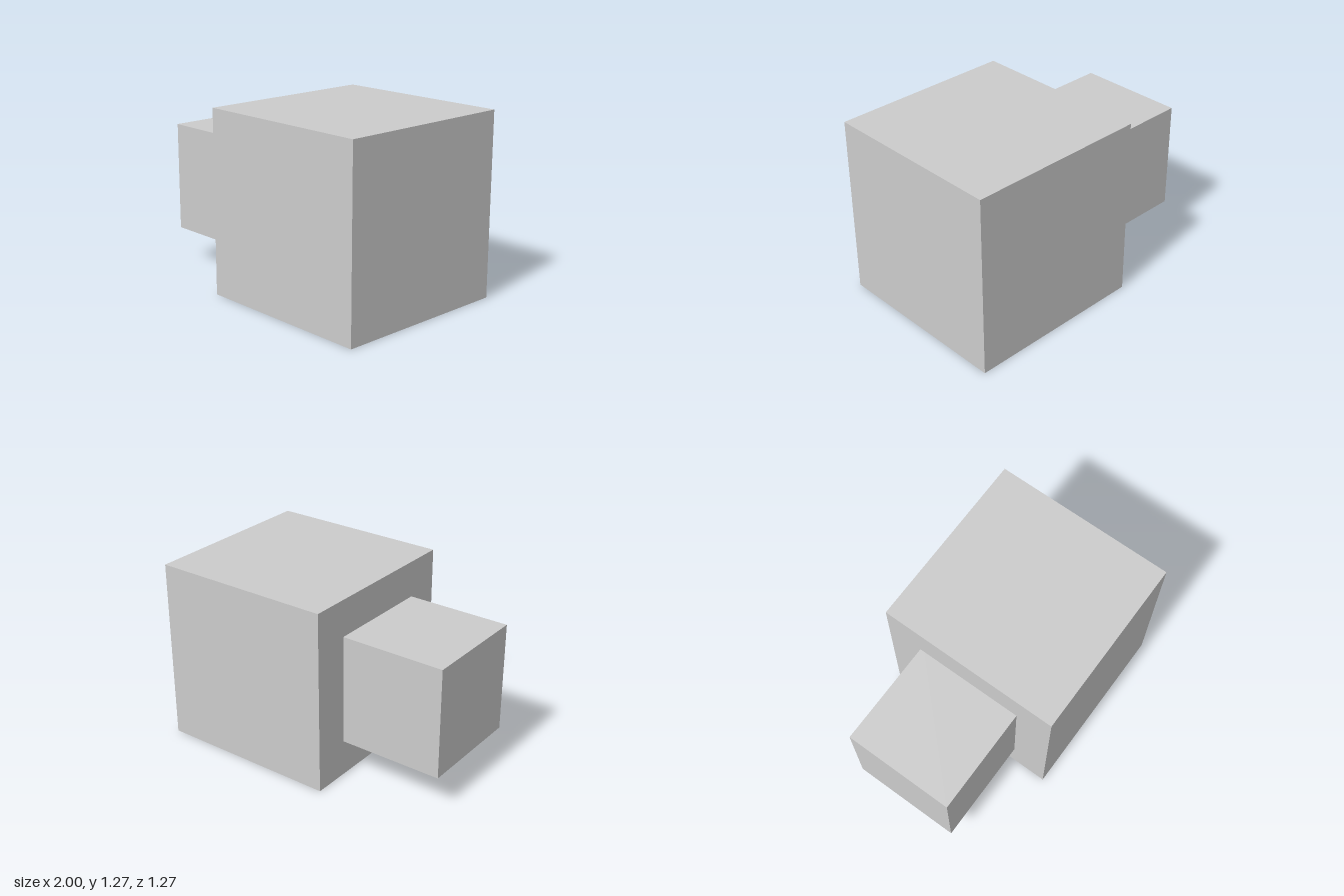
import * as THREE from 'three';

export function createModel() {
  const group = new THREE.Group();
  const material = new THREE.MeshStandardMaterial({ color: 0xcccccc, flatShading: true });

  // Cube of the given size, centred at x and at mid-height of the large cube
  const addCube = (name, size, x) => {
    const mesh = new THREE.Mesh(new THREE.BoxGeometry(size, size, size), material);
    mesh.name = name;
    mesh.position.set(x, 0.635, 0);
    group.add(mesh);
  };

  addCube('largeCube', 1.27, 0.365);
  // Small cube, sunk slightly into the side of the large one
  addCube('smallCube', 0.762, -0.619);

  return group;
}
